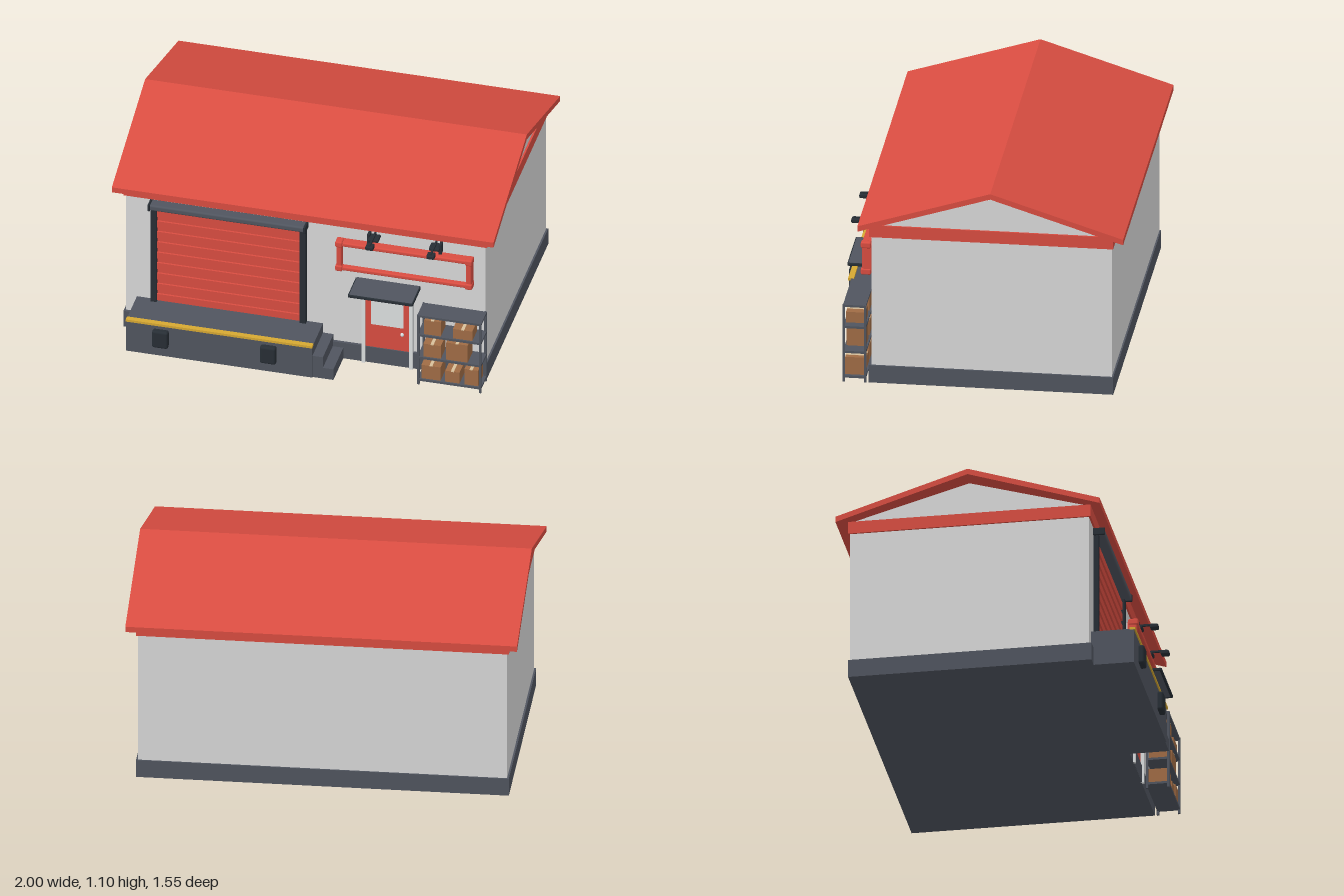
import * as THREE from 'three';
import { RoundedBoxGeometry } from 'three/addons/geometries/RoundedBoxGeometry.js';

const mat = (name, color) => {
  const m = new THREE.MeshStandardMaterial({ color });
  m.name = name;
  return m;
};

export function createModel() {
  const red = mat('red paint', 0xd94d41);
  const wall = mat('wall grey', 0xd9d9d9);
  const slate = mat('slate concrete', 0x50555f);
  const dark = mat('dark metal', 0x272e35);
  const yellow = mat('safety yellow', 0xd6a832);
  const card = mat('cardboard', 0xa06c45);
  const tape = mat('parcel tape', 0xd8c09a);
  const trim = mat('pale trim', 0xdcdfe0);

  const model = new THREE.Group();
  model.name = 'warehouse';
  const group = (name) => {
    const g = new THREE.Group();
    g.name = name;
    model.add(g);
    return g;
  };
  const add = (parent, name, geo, material) => {
    const m = new THREE.Mesh(geo, material);
    m.name = name;
    parent.add(m);
    return m;
  };
  // Box given by its limits on each axis; r rounds the edges
  const box = (parent, name, material, [x0, x1], [y0, y1], [z0, z1], r = 0) => {
    const s = [x1 - x0, y1 - y0, z1 - z0];
    const geo = r ? new RoundedBoxGeometry(...s, 2, r) : new THREE.BoxGeometry(...s);
    geo.translate((x0 + x1) / 2, (y0 + y1) / 2, (z0 + z1) / 2);
    return add(parent, name, geo, material);
  };
  // Profile of [z, y] points extruded along x, centred on x = 0
  const extrudeX = (parent, name, material, points, width) => {
    const shape = new THREE.Shape(points.map((p) => new THREE.Vector2(...p)));
    const geo = new THREE.ExtrudeGeometry(shape, { depth: width, bevelEnabled: false });
    geo.rotateY(-Math.PI / 2).translate(width / 2, 0, 0);
    return add(parent, name, geo, material);
  };

  // Building shell
  const shell = group('building');
  extrudeX(shell, 'walls', wall,
    [[0.52, 0.01], [0.52, 0.865], [-0.095, 1.04], [-0.71, 0.865], [-0.71, 0.01]], 1.885);
  box(shell, 'plinth', slate, [-0.952, 0.952], [0, 0.095], [-0.718, 0.535]);
  box(shell, 'fascia', red, [-0.952, 0.952], [0.803, 0.868], [-0.718, 0.53]);
  extrudeX(shell, 'roof', red,
    [[0.585, 0.85], [0.585, 0.88], [-0.095, 1.095], [-0.775, 0.88], [-0.775, 0.85], [-0.095, 1.065]], 2);

  // Loading dock with bumpers and steps
  const dock = group('loadingDock');
  box(dock, 'dockBase', slate, [-0.885, 0.09], [0, 0.187], [0.52, 0.742]);
  box(dock, 'dockEdge', yellow, [-0.885, 0.092], [0.183, 0.196], [0.72, 0.749]);
  for (const x of [-0.702, -0.137])
    box(dock, 'bumper', dark, [x - 0.042, x + 0.042], [0.06, 0.162], [0.735, 0.771], 0.012);
  box(dock, 'upperStep', slate, [0.088, 0.145], [0, 0.13], [0.52, 0.736]);
  box(dock, 'lowerStep', slate, [0.143, 0.2], [0, 0.065], [0.52, 0.736]);

  // Roller shutter
  const shutter = group('rollerShutter');
  box(shutter, 'shutterBacking', red, [-0.78, -0.02], [0.187, 0.77], [0.515, 0.526]);
  const slats = 9, pitch = 0.575 / slats;
  for (let i = 0; i < slats; i++) {
    const y = 0.192 + i * pitch;
    box(shutter, 'slat', red, [-0.78, -0.02], [y, y + pitch * 0.6], [0.52, 0.536]);
  }
  for (const x of [-0.792, -0.01])
    box(shutter, 'guideRail', dark, [x - 0.016, x + 0.016], [0.187, 0.78], [0.515, 0.547]);
  box(shutter, 'rollHousing', slate, [-0.808, 0.008], [0.764, 0.797], [0.515, 0.578], 0.01);
  for (const x of [-0.809, 0.007])
    box(shutter, 'housingCap', dark, [x - 0.006, x + 0.006], [0.761, 0.8], [0.515, 0.581], 0.004);

  // Entrance door
  const door = group('entrance');
  box(door, 'doorLeaf', red, [0.315, 0.55], [0.01, 0.42], [0.515, 0.531]);
  box(door, 'kickPlate', slate, [0.317, 0.548], [0.002, 0.095], [0.53, 0.537]);
  box(door, 'doorWindow', trim, [0.345, 0.515], [0.235, 0.39], [0.53, 0.534]);
  for (const x of [0.307, 0.557])
    box(door, 'doorJamb', trim, [x - 0.009, x + 0.009], [0, 0.44], [0.515, 0.547]);
  box(door, 'doorHead', trim, [0.298, 0.566], [0.417, 0.44], [0.515, 0.547]);
  const knob = add(door, 'doorKnob', new THREE.SphereGeometry(0.01, 12, 8), trim);
  knob.position.set(0.51, 0.2, 0.54);
  box(door, 'canopy', slate, [0.268, 0.597], [0.488, 0.502], [0.515, 0.682]);
  box(door, 'canopyFrontEdge', dark, [0.263, 0.602], [0.485, 0.501], [0.676, 0.688], 0.004);
  for (const x of [0.267, 0.598])
    box(door, 'canopySideEdge', dark, [x - 0.005, x + 0.005], [0.485, 0.501], [0.52, 0.685], 0.004);

  // Blank sign board with a rounded frame
  const sign = group('signBoard');
  box(sign, 'signPanel', wall, [0.19, 0.865], [0.58, 0.728], [0.52, 0.553]);
  for (const y of [0.58, 0.726])
    box(sign, 'signRail', red, [0.18, 0.875], [y - 0.012, y + 0.012], [0.525, 0.578], 0.008);
  for (const x of [0.187, 0.867]) {
    box(sign, 'signEnd', red, [x - 0.015, x + 0.015], [0.575, 0.732], [0.525, 0.576], 0.008);
    for (const y of [0.58, 0.726])
      box(sign, 'signCorner', red, [x - 0.019, x + 0.019], [y - 0.017, y + 0.017], [0.53, 0.583], 0.008);
  }

  // Sign lamps, mirrored about the middle of the sign
  for (const s of [-1, 1]) {
    const lamp = group('signLamp');
    const x = 0.525 + s * 0.16, bx = 0.525 + s * 0.188;
    box(lamp, 'lampBracket', dark, [bx - 0.007, bx + 0.007], [0.742, 0.798], [0.515, 0.56]);
    box(lamp, 'lampMount', dark, [x - 0.028, x + 0.028], [0.765, 0.783], [0.515, 0.575], 0.006);
    box(lamp, 'lampArm', dark, [x - 0.005, x + 0.005], [0.786, 0.796], [0.52, 0.645]);
    box(lamp, 'lampHead', dark, [x - 0.021, x + 0.021], [0.767, 0.79], [0.612, 0.655], 0.007);
  }

  // Storage rack
  const rack = group('storageRack');
  for (const x of [0.626, 0.95])
    for (const z of [0.551, 0.66])
      box(rack, 'rackPost', slate, [x - 0.006, x + 0.006], [0, 0.424], [z - 0.006, z + 0.006]);
  for (const y of [0.027, 0.163, 0.3, 0.417])
    box(rack, 'rackShelf', slate, [0.621, 0.955], [y - 0.006, y + 0.006], [0.547, 0.664]);

  // Cartons as [left, right, bottom, top], each with a strip of tape
  const cartons = [
    [0.64, 0.74, 0.033, 0.115], [0.765, 0.84, 0.033, 0.1], [0.865, 0.937, 0.033, 0.128],
    [0.65, 0.742, 0.169, 0.247], [0.77, 0.883, 0.169, 0.274],
    [0.655, 0.742, 0.306, 0.393], [0.805, 0.907, 0.306, 0.364],
  ];
  for (const [x0, x1, y0, y1] of cartons) {
    const x = (x0 + x1) / 2;
    box(rack, 'carton', card, [x0, x1], [y0, y1], [0.556, 0.655]);
    box(rack, 'cartonTape', tape, [x - 0.008, x + 0.008], [y1 - 0.002, y1 + 0.002], [0.557, 0.656]);
  }
  return model;
}
